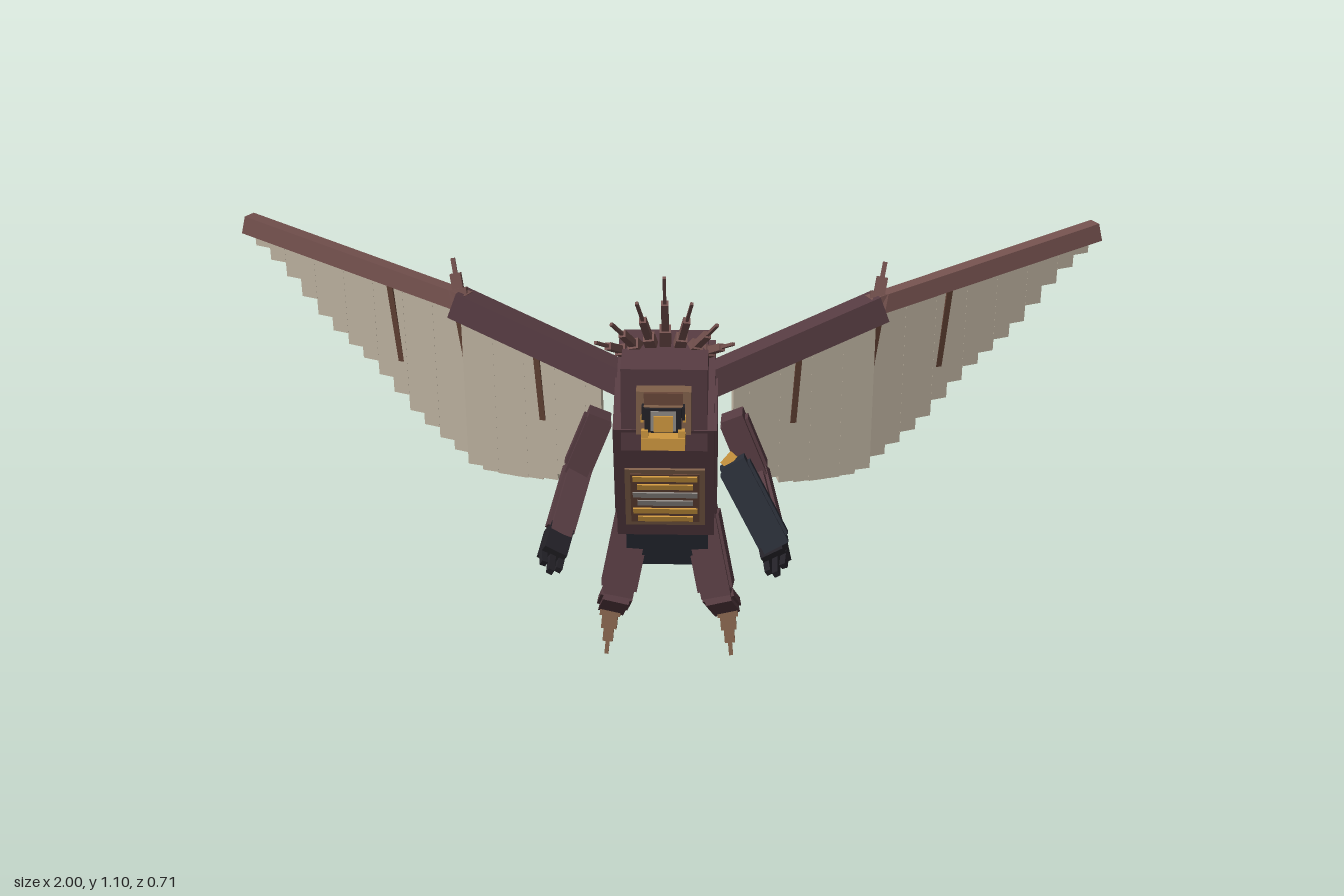
import * as THREE from 'three';

const mat = (name, color) => {
  const m = new THREE.MeshStandardMaterial({ color });
  m.name = name;
  return m;
};
const M = {
  hide: mat('maroon hide', 0x573c42),
  pale: mat('light maroon', 0x75524f),
  navy: mat('navy cloth', 0x2b2f39),
  skin: mat('wing membrane', 0xcfc3af),
  gold: mat('gold', 0xcf983f),
  brown: mat('face brown', 0x80604a),
  black: mat('black claw', 0x232127),
  grey: mat('grey metal', 0x8f8a86),
  rib: mat('rib brown', 0x684638),
};
const V = (p) => new THREE.Vector3(...p);
const X = [1, 0, 0];

// Axis-aligned box, optionally tilted about x
function box(parent, name, m, size, pos, tilt = 0) {
  const o = new THREE.Mesh(new THREE.BoxGeometry(...size), m);
  o.name = name;
  o.position.set(...pos);
  o.rotation.x = tilt;
  parent.add(o);
  return o;
}

// Box stretched from a to b; w lies along the side vector, d across it
function bar(parent, name, m, a, b, w, d, side = X) {
  const A = V(a), B = V(b), y = B.clone().sub(A), len = y.length();
  y.normalize();
  const x = V(side).addScaledVector(y, -V(side).dot(y)).normalize();
  const z = x.clone().cross(y);
  const o = box(parent, name, m, [w, len, d], [0, 0, 0]);
  o.quaternion.setFromRotationMatrix(new THREE.Matrix4().makeBasis(x, y, z));
  o.position.copy(A.add(B).multiplyScalar(0.5));
  return o;
}

// Limb bar with raised panels on its two outer sides
function panelled(parent, name, m, a, b, w, d, side = X) {
  const o = bar(parent, name, m, a, b, w, d, side);
  const len = o.geometry.parameters.height;
  box(o, name + 'Panel', m, [w + 0.014, len - 0.03, d - 0.025], [0, 0, 0]);
}

// Stepped spike: a run of thinner and thinner bars
function spike(parent, name, m, a, b, widths, side = X) {
  const n = widths.length;
  const at = (t) => V(a).lerp(V(b), t).toArray();
  widths.forEach((w, i) => bar(parent, name, m, at(i / n), at((i + 1) / n), w, w, side));
}

// Piecewise linear lookup in [x, value] pairs
function lookup(pts, x) {
  for (let i = 1; i < pts.length; i++) {
    const [x0, v0] = pts[i - 1], [x1, v1] = pts[i];
    if (x <= x1) return v0 + (v1 - v0) * (x - x0) / (x1 - x0);
  }
  return pts[pts.length - 1][1];
}

function buildBody(root) {
  const torso = new THREE.Group();
  torso.name = 'torso';
  torso.position.set(0, 0.648, 0.07);
  torso.rotation.x = 0.4;
  root.add(torso);
  box(torso, 'chest', M.hide, [0.22, 0.34, 0.29], [0, 0, 0]);
  box(torso, 'sidePanels', M.hide, [0.232, 0.27, 0.22], [0, 0, 0]);
  // Belly plate with stripes
  box(torso, 'bellyPlate', M.brown, [0.18, 0.18, 0.008], [0, -0.04, 0.147]);
  box(torso, 'bellyInset', M.rib, [0.155, 0.155, 0.006], [0, -0.04, 0.15]);
  for (let i = 0; i < 6; i++) {
    const m = i === 2 || i === 3 ? M.grey : M.gold;
    box(torso, 'bellyStripe', m, [i % 2 ? 0.125 : 0.145, 0.015, 0.006], [0, 0.025 - i * 0.026, 0.154]);
  }
  // Pelvis and tail
  box(root, 'pelvis', M.navy, [0.19, 0.25, 0.18], [0, 0.445, -0.034], 0.4);
  box(root, 'pelvisPanels', M.navy, [0.204, 0.2, 0.13], [0, 0.445, -0.034], 0.4);
  spike(root, 'tail', M.hide, [0, 0.395, -0.14], [0, 0.33, -0.355], [0.045, 0.028, 0.012]);
}

function buildHead(root) {
  box(root, 'head', M.hide, [0.19, 0.2, 0.2], [0, 0.805, 0.172], 0.09);
  const face = new THREE.Group();
  face.name = 'face';
  root.add(face);
  box(face, 'muzzle', M.brown, [0.12, 0.1, 0.06], [0, 0.807, 0.285]);
  box(face, 'brow', M.rib, [0.085, 0.03, 0.05], [0, 0.842, 0.3]);
  box(face, 'snout', M.brown, [0.085, 0.06, 0.03], [0, 0.8, 0.32]);
  box(face, 'noseRing', M.black, [0.08, 0.056, 0.008], [0, 0.8, 0.337]);
  box(face, 'noseBridge', M.grey, [0.055, 0.045, 0.008], [0, 0.8, 0.341]);
  box(face, 'nose', M.gold, [0.042, 0.036, 0.008], [0, 0.795, 0.346]);
  box(face, 'jaw', M.gold, [0.095, 0.028, 0.09], [0, 0.75, 0.31]);
  for (const s of [-1, 1]) {
    box(face, 'eyeSocket', M.black, [0.006, 0.03, 0.025], [s * 0.044, 0.815, 0.324]);
    box(face, 'eye', M.gold, [0.008, 0.014, 0.014], [s * 0.045, 0.8, 0.326]);
    box(face, 'tusk', M.gold, [0.015, 0.02, 0.015], [s * 0.04, 0.77, 0.343]);
  }
  // Fan of crest spikes
  const tips = [[0, 1.1, 0.262], [0.06, 1.04, 0.258], [0.115, 0.99, 0.255], [0.15, 0.945, 0.25]];
  for (let i = -3; i <= 3; i++) {
    const [x, y, z] = tips[Math.abs(i)];
    spike(root, 'crestSpike', M.pale, [i * 0.025, 0.88, 0.14], [Math.sign(i) * x, y, z], [0.025, 0.016, 0.007]);
  }
}

function buildLimbs(root, s) {
  const g = new THREE.Group();
  g.name = s > 0 ? 'leftLimbs' : 'rightLimbs';
  root.add(g);
  // Leg
  const legSide = [0.97, s * 0.24, 0], armSide = [0.86, s * 0.5, 0];
  panelled(g, 'thigh', M.hide, [s * 0.077, 0.42, -0.047], [s * 0.118, 0.222, 0.0], 0.07, 0.1, legSide);
  panelled(g, 'shin', M.hide, [s * 0.117, 0.225, 0.015], [s * 0.138, 0.115, -0.15], 0.062, 0.045, legSide);
  spike(g, 'footClaw', M.brown, [s * 0.14, 0.125, -0.145], [s * 0.152, 0, -0.11], [0.05, 0.038, 0.025, 0.01]);
  // Arm
  panelled(g, 'upperArm', M.hide, [s * 0.148, 0.725, 0.117], [s * 0.205, 0.585, 0.125], 0.052, 0.06, armSide);
  panelled(g, 'forearm', M.hide, [s * 0.198, 0.6, 0.115], [s * 0.24, 0.475, 0.24], 0.05, 0.05, armSide);
  bar(g, 'hand', M.black, [s * 0.238, 0.482, 0.225], [s * 0.25, 0.453, 0.3], 0.055, 0.045, armSide);
  for (const f of [-1, 0, 1]) {
    bar(g, 'finger', M.black, [s * 0.25 + f * 0.02, 0.455 + f * s * 0.01, 0.29],
      [s * 0.25 + f * 0.016, 0.442 + f * s * 0.008, f ? 0.33 : 0.355], 0.014, 0.014, armSide);
  }
}

function buildWing(root, s) {
  const g = new THREE.Group();
  g.name = s > 0 ? 'leftWing' : 'rightWing';
  root.add(g);
  const Z = [0, 0, 1];
  // Arm bones
  bar(g, 'wingUpperArm', M.hide, [s * 0.08, 0.77, 0.045], [s * 0.485, 0.922, -0.065], 0.07, 0.062, Z);
  bar(g, 'wingForearm', M.pale, [s * 0.46, 0.925, -0.055], [s * 0.99, 1.045, -0.255], 0.042, 0.042, Z);
  spike(g, 'wingClaw', M.pale, [s * 0.475, 0.92, -0.06], [s * 0.493, 1.02, -0.088], [0.04, 0.025, 0.01]);
  // Membrane slats hanging from the bones, the inner set ahead of the outer
  const top = [[0.08, 0.77], [0.49, 0.92], [0.99, 1.045]];
  const depth = [[0.08, 0.025], [0.49, -0.075], [0.99, -0.255]];
  const hem = [[0.14, 0.72], [0.17, 0.62], [0.2, 0.54], [0.25, 0.495], [0.3, 0.485], [0.4, 0.485], [0.47, 0.505],
    [0.525, 0.545], [0.6, 0.61], [0.63, 0.65], [0.7, 0.73], [0.76, 0.78], [0.81, 0.83], [0.85, 0.88], [0.9, 0.945], [0.98, 1.015]];
  const slat = (name, m, x, y0, y1, w, d, lean, out) => {
    const inner = x < 0.48;
    const z = lookup(depth, x) + out + (inner ? 0.025 : -0.005);
    const along = [1, 0, -s * (inner ? 0.26 : 0.36)];
    bar(g, name, m, [s * x, y0, z], [s * (x - lean), y1, z - (inner ? 0.18 : 0.19) * (y0 - y1)], w, d, along);
  };
  const n = 23, step = 0.82 / n;
  for (let i = 0; i < n; i++) {
    const x = 0.15 + (i + 0.5) * step;
    slat('membraneSlat', M.skin, x, lookup(top, x), lookup(hem, x), step * 1.09, 0.016 + 0.004 * (i % 2), 0, 0);
  }
  // Finger ribs on the front of the membrane
  for (const [x, y, lean] of [[0.3, 0.65, 0.012], [0.485, 0.67, 0.03], [0.645, 0.665, 0.023]]) {
    slat('wingRib', M.rib, x, lookup(top, x), y, 0.014, 0.016, lean, 0.009);
  }
}

export function createModel() {
  const root = new THREE.Group();
  root.name = 'wingedBeast';
  buildBody(root);
  buildHead(root);
  for (const s of [-1, 1]) {
    buildLimbs(root, s);
    buildWing(root, s);
  }
  // Forearm guard on the left arm
  panelled(root, 'armGuard', M.navy, [0.15, 0.665, 0.245], [0.25, 0.485, 0.295], 0.06, 0.08);
  bar(root, 'armGuardCap', M.gold, [0.135, 0.672, 0.235], [0.15, 0.66, 0.24], 0.035, 0.03);
  return root;
}
